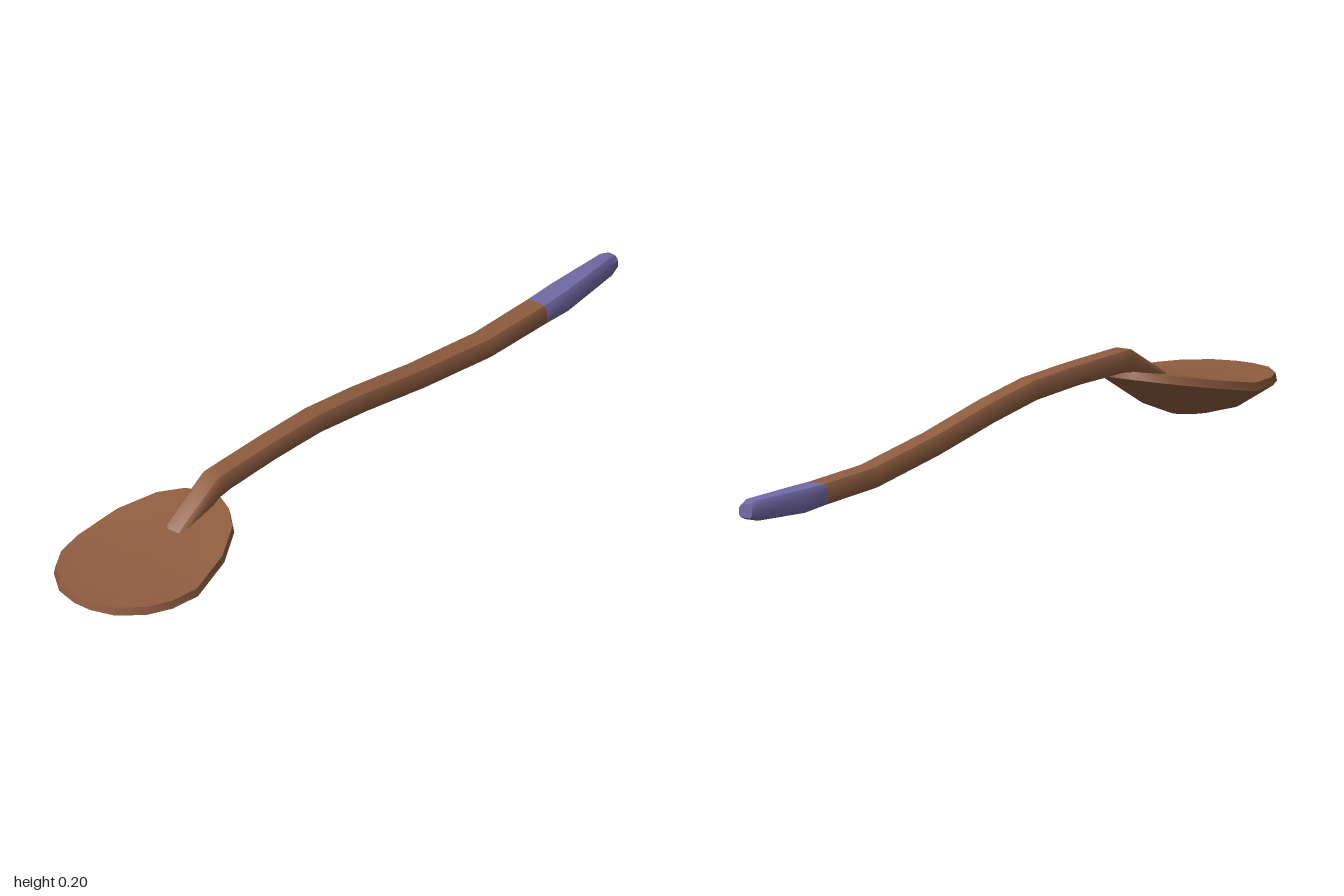
import * as THREE from 'three';
import { toCreasedNormals } from 'three/addons/utils/BufferGeometryUtils.js';

// Skin a stack of rings (counter-clockwise about the stacking direction);
// startCap / endCap are optional centre points that close the ends.
function loft(rings, startCap, endCap) {
  const pos = [];
  const n = rings[0].length;
  const tri = (...pts) => pts.forEach((p) => pos.push(...p));
  for (let i = 0; i < rings.length - 1; i++) {
    for (let j = 0; j < n; j++) {
      const k = (j + 1) % n;
      tri(rings[i][j], rings[i][k], rings[i + 1][j]);
      tri(rings[i][k], rings[i + 1][k], rings[i + 1][j]);
    }
  }
  const last = rings[rings.length - 1];
  for (let j = 0; j < n; j++) {
    const k = (j + 1) % n;
    if (startCap) tri(startCap, rings[0][k], rings[0][j]);
    if (endCap) tri(endCap, last[j], last[k]);
  }
  const g = new THREE.BufferGeometry();
  g.setAttribute('position', new THREE.Float32BufferAttribute(pos, 3));
  return toCreasedNormals(g, 0.65);
}

// Chamfered rectangular cross-section of the handle
function section([x, top, bottom, w]) {
  const cy = Math.min(0.014, (top - bottom) * 0.3);
  const cz = 0.009;
  return [
    [top, -w + cz], [top, w - cz], [top - cy, w], [bottom + cy * 0.6, w],
    [bottom, w - cz * 0.6], [bottom, -w + cz * 0.6], [bottom + cy * 0.6, -w], [top - cy, -w],
  ].map(([y, z]) => [x, y, z]);
}

const middle = ([x, top, bottom]) => [x, (top + bottom) / 2, 0];

export function createModel() {
  const wood = new THREE.MeshStandardMaterial({ color: 0x8f5d40 });
  wood.name = 'brown wood';
  const paint = new THREE.MeshStandardMaterial({ color: 0x726aa6 });
  paint.name = 'purple paint';

  const model = new THREE.Group();
  model.name = 'spoon';
  const add = (name, geometry, material) => {
    const mesh = new THREE.Mesh(geometry, material);
    mesh.name = name;
    model.add(mesh);
  };

  // Bowl: egg-shaped outline, mirrored across z
  const half = [
    [-0.998, 0.025], [-0.98, 0.085], [-0.93, 0.142], [-0.87, 0.173], [-0.79, 0.186],
    [-0.665, 0.164], [-0.57, 0.118], [-0.525, 0.07], [-0.503, 0.025],
  ];
  const outline = [...half, ...half.slice().reverse().map(([x, z]) => [x, -z])];
  const cx = -0.78;
  const rimY = (x) => 0.098 + 0.19 * Math.max(0, x + 0.78);
  const ring = (s, height) => outline.map(([x, z]) => {
    const px = cx + (x - cx) * s;
    return [px, height(px), z * s];
  });
  add('bowl', loft([
    ring(0.25, (x) => 0.011 + 0.05 * (x + 0.8)),
    ring(0.55, (x) => 0.03 + 0.12 * (x + 0.78)),
    ring(1, (x) => rimY(x) - 0.02),
    ring(0.98, rimY),
  ], [-0.79, 0.005, 0], [cx, 0.096, 0]), wood);

  // Handle stations: x, top, bottom, half width
  const handle = [
    [-0.67, 0.113, 0.09, 0.022], [-0.65, 0.126, 0.09, 0.029], [-0.51, 0.203, 0.148, 0.031],
    [-0.47, 0.202, 0.152, 0.031], [-0.3, 0.196, 0.149, 0.031], [-0.13, 0.186, 0.138, 0.031],
    [0.04, 0.158, 0.109, 0.031], [0.26, 0.112, 0.063, 0.031], [0.51, 0.071, 0.022, 0.032],
    [0.715, 0.061, 0.011, 0.033],
  ];
  add('handle', loft(handle.map(section), middle(handle[0])), wood);

  // Painted handle end, tapering to a blunt tip
  const tip = [
    [0.715, 0.061, 0.011, 0.033], [0.8, 0.06, 0.004, 0.033],
    [0.975, 0.059, 0.01, 0.024], [1, 0.052, 0.019, 0.019],
  ];
  add('handleEnd', loft(tip.map(section), null, middle(tip[3])), paint);

  return model;
}
